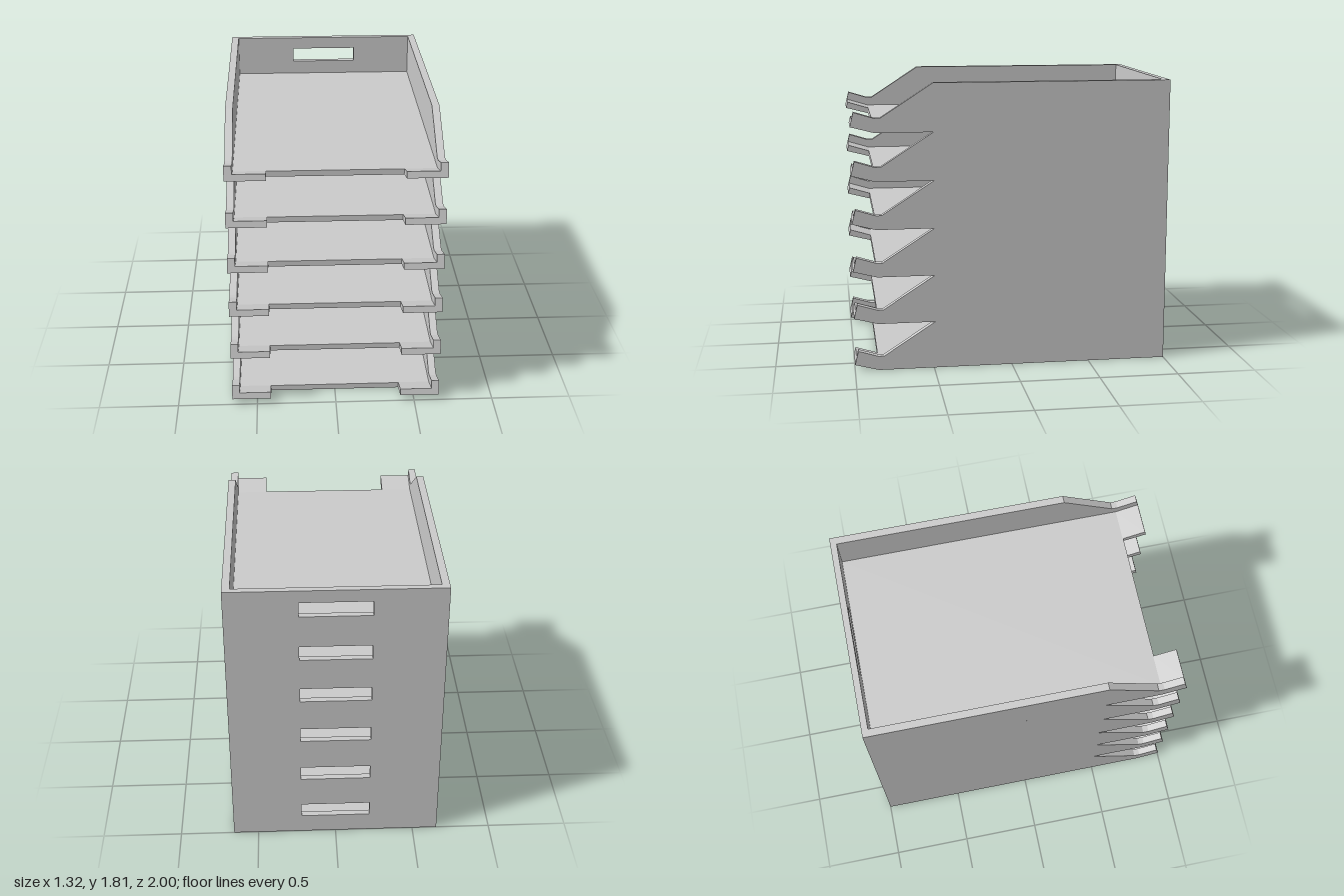
import * as THREE from 'three';

const TRAYS = 6, PITCH = 0.3017;
const OUTER = 0.658, INNER = 0.611, LIP_INNER = 0.412;
const FLOOR = 0.036, BACK = -1, BACK_INNER = -0.96, FRONT = 0.85;

const material = new THREE.MeshStandardMaterial({ color: 0xcccccc, flatShading: true });

const toShape = (points) => new THREE.Shape(points.map(([a, b]) => new THREE.Vector2(a, b)));

// Extrudes a (z, y) outline across x, from x0 to x1
function extrudeAcross(points, x0, x1) {
  const geometry = new THREE.ExtrudeGeometry(toShape(points), { depth: x1 - x0, bevelEnabled: false });
  return geometry.rotateY(-Math.PI / 2).translate(x1, 0, 0);
}

const rect = (a0, b0, a1, b1) => [[a0, b0], [a1, b0], [a1, b1], [a0, b1]];

// Side wall: sloped front, ending in the upturned lip
const wallOutline = [
  [BACK, 0], [FRONT, 0], [1, 0.039], [0.978, 0.128],
  [0.853, 0.09], [0.816, 0.09], [0.49, PITCH], [BACK, PITCH],
];
// Upturned front tab beside the paper cut-out
const lipOutline = [[FRONT, 0], [1, 0.039], [0.99, 0.079], [FRONT - 0.004, FLOOR], [FRONT - 0.004, 0]];

// Back wall with its grip slot
function backGeometry() {
  const shape = toShape(rect(-INNER, 0, INNER, PITCH));
  shape.holes.push(new THREE.Path(rect(-0.218, 0.127, 0.218, 0.222).map(([x, y]) => new THREE.Vector2(x, y))));
  return new THREE.ExtrudeGeometry(shape, { depth: BACK_INNER - BACK, bevelEnabled: false }).translate(0, 0, BACK);
}

export function createModel() {
  const model = new THREE.Group();
  model.name = 'stackedLetterTrays';

  const parts = {
    floor: extrudeAcross(rect(BACK_INNER, 0, FRONT, FLOOR), -INNER, INNER),
    backWall: backGeometry(),
    leftWall: extrudeAcross(wallOutline, INNER, OUTER),
    rightWall: extrudeAcross(wallOutline, -OUTER, -INNER),
    leftLip: extrudeAcross(lipOutline, LIP_INNER, INNER),
    rightLip: extrudeAcross(lipOutline, -INNER, -LIP_INNER),
  };

  for (let i = 0; i < TRAYS; i++) {
    const tray = new THREE.Group();
    tray.name = `tray${i + 1}`;
    tray.position.y = i * PITCH;
    for (const [name, geometry] of Object.entries(parts)) {
      const mesh = new THREE.Mesh(geometry, material);
      mesh.name = name;
      tray.add(mesh);
    }
    model.add(tray);
  }
  return model;
}
